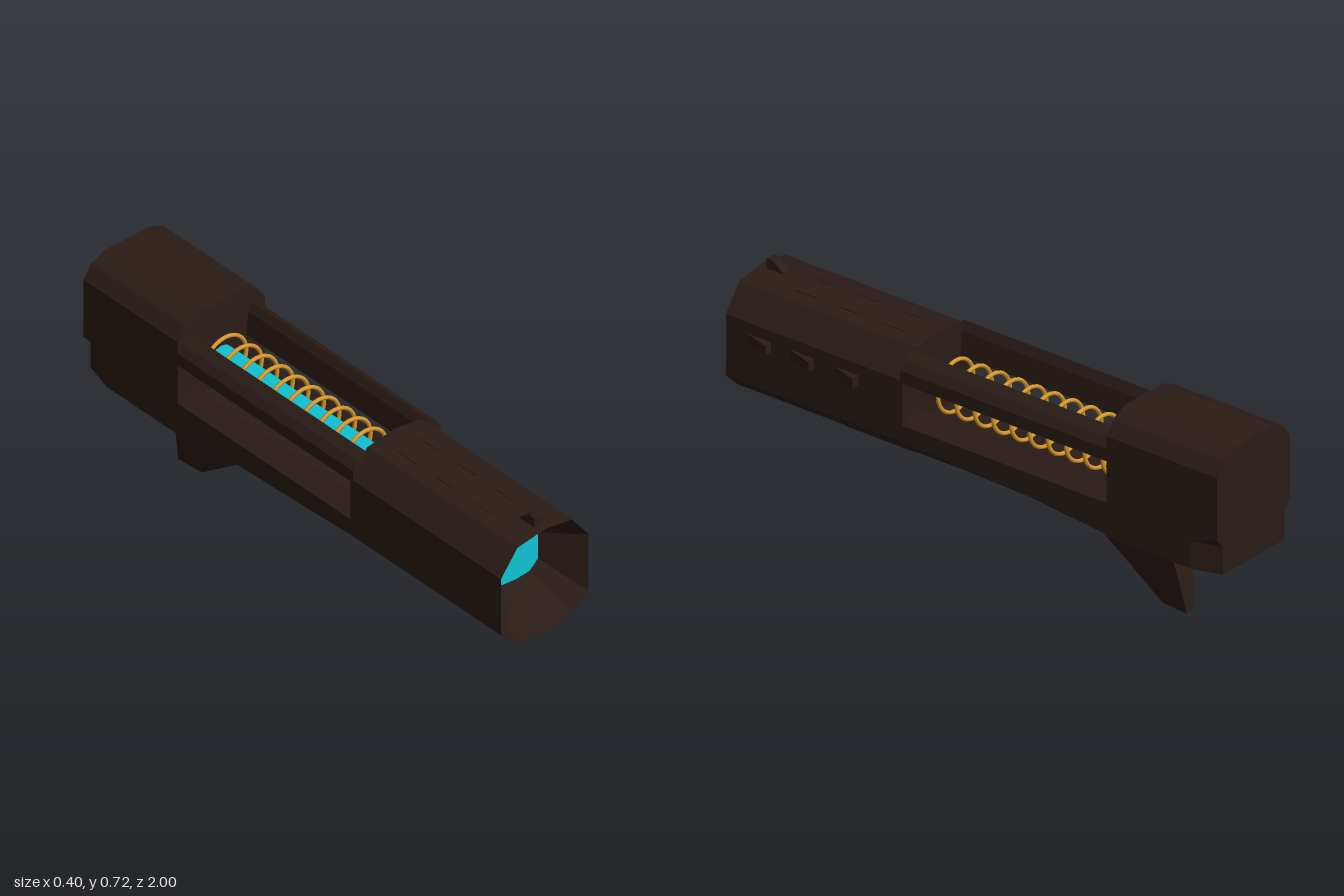
import * as THREE from 'three';

const dark = new THREE.MeshStandardMaterial({ color: 0x2a1c17, flatShading: true });
const cyan = new THREE.MeshStandardMaterial({ color: 0x10c4d4, flatShading: true });
const gold = new THREE.MeshStandardMaterial({ color: 0xd9982a });

// Closed ring from a right-hand half profile, listed from bottom centre to top centre
const mirror = (half) => [
  ...half,
  ...half.slice().reverse().filter(([x]) => x !== 0).map(([x, y]) => [-x, y]),
];
const rect = (x0, x1, y0, y1) => [[x0, y0], [x1, y0], [x1, y1], [x0, y1]];

// Capped skin through cross-sections [z, ring]; rings run counter-clockwise seen from the front
function loft(sections) {
  const pos = [];
  const put = (s, i) => pos.push(s[1][i][0], s[1][i][1], s[0]);
  const n = sections[0][1].length;
  for (let k = 0; k + 1 < sections.length; k++) {
    const f = sections[k], b = sections[k + 1];
    for (let i = 0; i < n; i++) {
      const j = (i + 1) % n;
      put(f, i); put(b, i); put(b, j);
      put(f, i); put(b, j); put(f, j);
    }
  }
  const cap = (s, flip) => {
    const pts = s[1].map(([x, y]) => new THREE.Vector2(x, y));
    for (const t of THREE.ShapeUtils.triangulateShape(pts, [])) {
      (flip ? [t[0], t[2], t[1]] : t).forEach((i) => put(s, i));
    }
  };
  cap(sections[0], false);
  cap(sections[sections.length - 1], true);
  const g = new THREE.BufferGeometry();
  g.setAttribute('position', new THREE.Float32BufferAttribute(pos, 3));
  g.computeVertexNormals();
  return g;
}

export function createModel() {
  const model = new THREE.Group();
  const body = new THREE.Group();
  body.name = 'body';
  body.position.x = -0.015;
  model.add(body);
  const add = (name, geometry, material = dark) => {
    const m = new THREE.Mesh(geometry, material);
    m.name = name;
    body.add(m);
    return m;
  };

  // Front barrel with a bevelled, funnel-shaped muzzle
  const outer = mirror([[0, 0.268], [0.125, 0.288], [0.185, 0.345], [0.185, 0.565], [0.115, 0.655], [0, 0.672]]);
  const bevel = outer.map(([x, y]) => [x * 0.9, 0.47 + (y - 0.47) * 0.9]);
  const bore = mirror([[0, 0.4], [0.058, 0.405], [0.093, 0.437], [0.093, 0.54], [0.062, 0.585], [0, 0.595]]);
  add('barrel', loft([[0.86, bore], [0.97, bevel], [1, outer], [0.28, outer]]));
  const lens = new THREE.ShapeGeometry(new THREE.Shape(bore.map(([x, y]) => new THREE.Vector2(x, y))));
  add('muzzleLens', lens, cyan).position.z = 0.862;

  // Open lower channel, blending from the barrel to the square rear block
  const channel = (a, b, c) => mirror([
    [0, a], [0.125, b], [0.185, c], [0.185, 0.405], [0.115, 0.44], [0.1, 0.4], [0, 0.385],
  ]);
  add('lowerChannel', loft([
    [0.28, channel(0.268, 0.288, 0.345)],
    [0.08, channel(0.284, 0.289, 0.335)],
    [-0.25, channel(0.284, 0.285, 0.322)],
    [-0.56, channel(0.284, 0.285, 0.29)],
  ]));

  // Upper side rails above the side windows
  const rail = [[0.105, 0.535], [0.185, 0.555], [0.185, 0.6], [0.165, 0.63], [0.13, 0.652], [0.115, 0.62]];
  const mirrored = rail.map(([x, y]) => [-x, y]).reverse();
  add('leftRail', loft([[0.29, rail], [-0.56, rail]]));
  add('rightRail', loft([[0.29, mirrored], [-0.56, mirrored]]));

  // Rear block, pinched at its lower back corners
  const rear = (w) => mirror([
    [0, 0.284], [w, 0.284], [w, 0.385], [0.185, 0.42], [0.185, 0.645], [0.153, 0.693], [0.095, 0.718], [0, 0.718],
  ]);
  add('rearBlock', loft([[-0.55, rear(0.185)], [-0.89, rear(0.185)], [-1, rear(0.155)]]));

  // Glowing core rod and the rings around it
  const rod = new THREE.CylinderGeometry(0.048, 0.048, 0.86, 12).rotateX(Math.PI / 2);
  add('coreRod', rod, cyan).position.set(0, 0.495, -0.135);
  const ring = new THREE.TorusGeometry(0.09, 0.007, 8, 28);
  for (let i = 0; i < 11; i++) {
    add('coilRing', ring, gold).position.set(0, 0.495, 0.213 - i * 0.0745);
  }

  // Tapered grip, narrow at its front edge
  const slab = (y, z0, z1, w0, w1) => [-y, [[-w1, z1], [w1, z1], [w0, z0], [-w0, z0]]];
  const grip = loft([
    slab(0, -0.635, -0.74, 0.006, 0.015),
    slab(0.13, -0.46, -0.725, 0.01, 0.039),
    slab(0.3, -0.21, -0.692, 0.012, 0.069),
  ]);
  // The loft axis becomes vertical: (x, y, z) -> (x, -z, y)
  grip.rotateX(Math.PI / 2);
  grip.computeVertexNormals();
  add('grip', grip);

  // Plate under the barrel with sloped ends
  const plate = new THREE.Shape([[0.64, 0.275], [0.6, 0.247], [0.32, 0.247], [0.285, 0.275]]
    .map(([z, y]) => new THREE.Vector2(z, y)));
  const plateGeo = new THREE.ExtrudeGeometry(plate, { depth: 0.14, bevelEnabled: false });
  add('underPlate', plateGeo.translate(0, 0, -0.07).rotateY(-Math.PI / 2));

  // Vents: pairs on the top, wedge fins on the left side
  for (const z of [0.415, 0.595, 0.77]) {
    for (const s of [-1, 1]) {
      const vent = add('topVent', new THREE.BoxGeometry(0.037, 0.008, 0.09));
      vent.position.set(s * 0.047, 0.664, z);
      vent.rotation.z = -s * 0.147;
    }
    add('sideFin', loft([
      [z + 0.14, rect(0.18, 0.186, 0.49, 0.525)],
      [z + 0.045, rect(0.18, 0.215, 0.49, 0.525)],
    ]));
  }

  // Small front sight
  add('frontSight', loft([
    [0.97, rect(-0.017, 0.017, 0.66, 0.705)],
    [0.945, rect(-0.017, 0.017, 0.66, 0.706)],
    [0.9, rect(-0.017, 0.017, 0.66, 0.674)],
  ]));

  return model;
}
